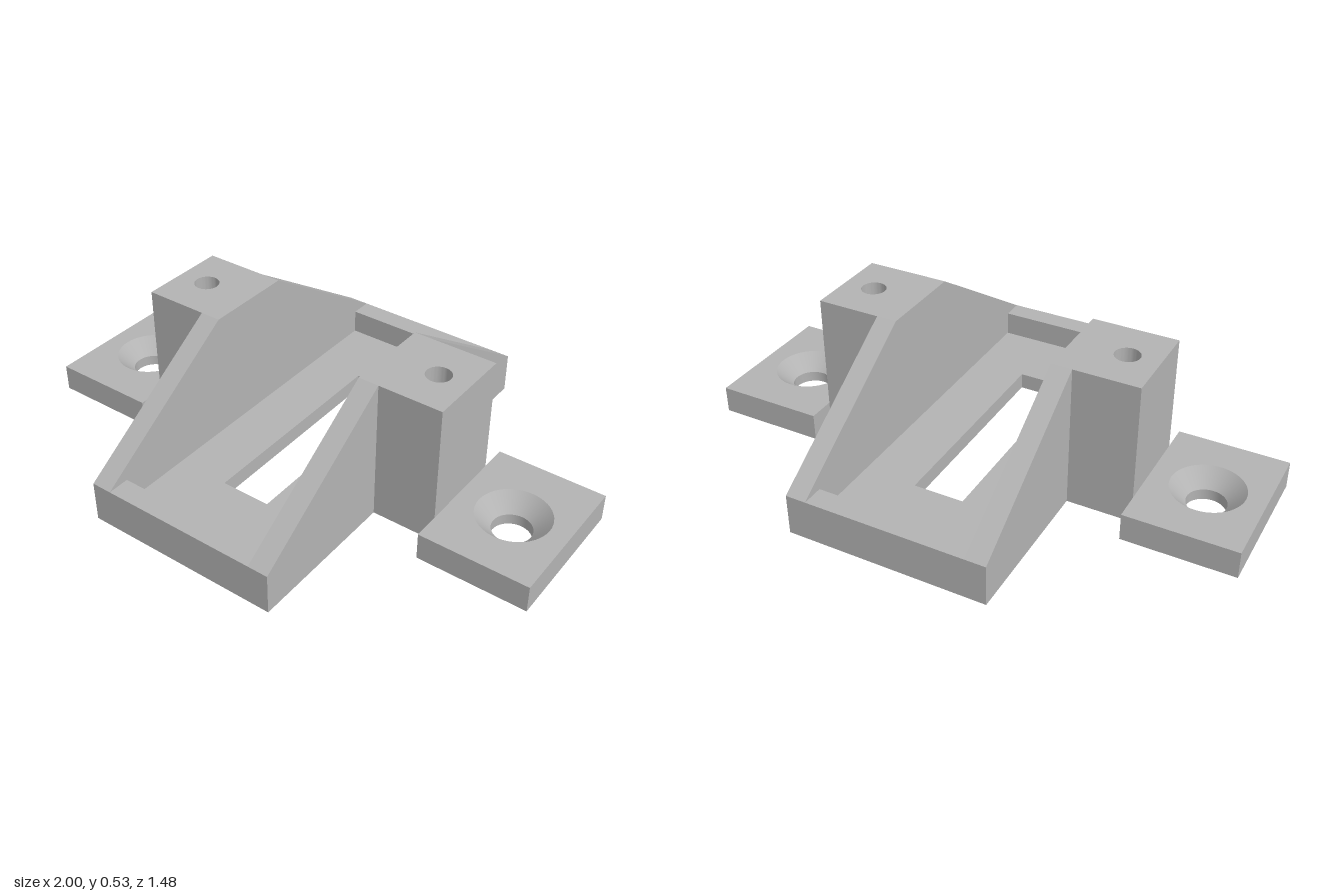
import * as THREE from 'three';
import { toCreasedNormals } from 'three/addons/utils/BufferGeometryUtils.js';

const HALF_LENGTH = 0.74, INNER = 0.29, OUTER = 0.365;
const LIP_TOP = 0.15, FLOOR_TOP = 0.06, TOP = 0.525;

// Rectangle path centred on (x, 0)
function rect(path, x, w, d) {
  path.moveTo(x - w / 2, -d / 2).lineTo(x + w / 2, -d / 2)
    .lineTo(x + w / 2, d / 2).lineTo(x - w / 2, d / 2).closePath();
  return path;
}

function circle(x, r) {
  return new THREE.Path().absarc(x, 0, r, 0, Math.PI * 2, true);
}

// Horizontal slab from y0 to y1 with an optional hole
function slab(x, w, d, y0, y1, hole) {
  const shape = rect(new THREE.Shape(), x, w, d);
  if (hole) shape.holes.push(hole);
  const geo = new THREE.ExtrudeGeometry(shape, { depth: y1 - y0, bevelEnabled: false, curveSegments: 24 });
  geo.rotateX(-Math.PI / 2).translate(0, y0, 0);
  return toCreasedNormals(geo, 0.6);
}

export function createModel() {
  const model = new THREE.Group();
  model.name = 'mountingBracket';
  const grey = new THREE.MeshStandardMaterial({ color: 0xb3b3b3 });
  grey.name = 'grey';
  const greyInside = grey.clone();
  greyInside.side = THREE.DoubleSide;

  const add = (name, geo, material = grey, parent = model) => {
    const mesh = new THREE.Mesh(geo, material);
    mesh.name = name;
    parent.add(mesh);
    return mesh;
  };

  // Recessed floor with a long slot
  add('slottedFloor', slab(0, INNER * 2, 1.32, 0, FLOOR_TOP, rect(new THREE.Path(), 0, 0.185, 0.8)));

  // Raised lips at the front and back
  for (const s of [1, -1]) {
    const lip = new THREE.BoxGeometry(INNER * 2, LIP_TOP, 0.08);
    lip.translate(0, LIP_TOP / 2, s * (HALF_LENGTH - 0.04));
    add(s > 0 ? 'frontLip' : 'backLip', lip);
  }

  // Side wall profile, sloping down to both ends
  const wall = new THREE.Shape([
    [-HALF_LENGTH, 0], [HALF_LENGTH, 0], [HALF_LENGTH, LIP_TOP],
    [0.165, TOP], [-0.165, TOP], [-HALF_LENGTH, LIP_TOP],
  ].map(([z, y]) => new THREE.Vector2(z, y)));

  for (const s of [1, -1]) {
    const side = new THREE.Group();
    side.name = s > 0 ? 'leftSide' : 'rightSide';
    model.add(side);

    const wallGeo = new THREE.ExtrudeGeometry(wall, { depth: OUTER - INNER, bevelEnabled: false });
    wallGeo.rotateY(-Math.PI / 2).translate(s > 0 ? OUTER : -INNER, 0, 0);
    add('slopedWall', wallGeo, grey, side);

    // Column with a blind hole in its top
    const cx = s * (OUTER + 0.6) / 2, cw = 0.6 - OUTER;
    add('columnBase', slab(cx, cw, 0.33, 0, 0.225), grey, side);
    add('columnTop', slab(cx, cw, 0.33, 0.225, TOP, circle(s * 0.485, 0.045)), grey, side);

    // Screw tab with a countersunk hole
    add('tabBase', slab(s * 0.8, 0.4, 0.53, 0, 0.04, circle(s * 0.8, 0.07)), grey, side);
    add('tabTop', slab(s * 0.8, 0.4, 0.53, 0.04, 0.1, circle(s * 0.8, 0.13)), grey, side);
    const cone = new THREE.LatheGeometry([new THREE.Vector2(0.07, 0.04), new THREE.Vector2(0.13, 0.1)], 48);
    cone.translate(s * 0.8, 0, 0);
    add('countersink', cone, greyInside, side);
  }
  return model;
}
